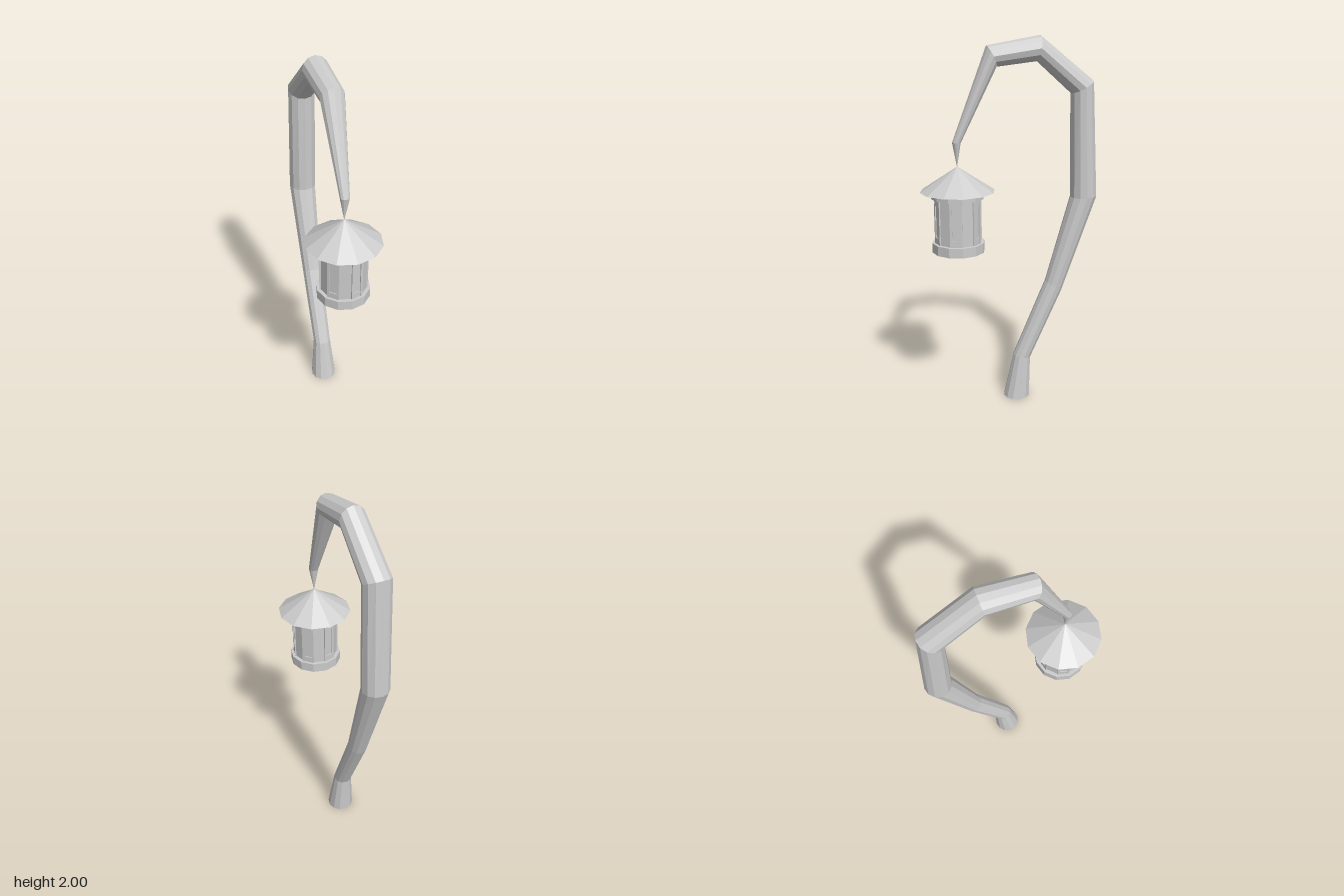
import * as THREE from 'three';

const SIDES = 12;
const LANTERN_Z = 0.283;

export function createModel() {
  const model = new THREE.Group();
  const material = new THREE.MeshStandardMaterial({ color: 0xcccccc, flatShading: true });

  const add = (parent, name, geometry, y = 0) => {
    const mesh = new THREE.Mesh(geometry, material);
    mesh.name = name;
    mesh.position.y = y;
    parent.add(mesh);
    return mesh;
  };

  // Bent pole: each ring is [inner z, inner y, outer z, outer y, half width]
  const rings = [
    [0.037, 0, -0.11, 0, 0.072],
    [-0.018, 0.25, -0.115, 0.235, 0.05],
    [-0.2, 0.68, -0.29, 0.62, 0.055],
    [-0.335, 1.15, -0.48, 1.155, 0.073],
    [-0.325, 1.705, -0.445, 1.77, 0.072],
    [-0.138, 1.87, -0.155, 2.0, 0.067],
    [0.072, 1.845, 0.125, 1.95, 0.061],
    [0.262, 1.465, 0.307, 1.47, 0.025],
    [LANTERN_Z, 1.34, LANTERN_Z, 1.34, 0],
  ];
  add(model, 'pole', sweepRings(rings));

  // Hanging lantern
  const lantern = new THREE.Group();
  lantern.name = 'lantern';
  lantern.position.z = LANTERN_Z;
  model.add(lantern);

  const drum = (name, radius, bottom, top) =>
    add(lantern, name, new THREE.CylinderGeometry(radius, radius, top - bottom, SIDES), (top + bottom) / 2);
  add(lantern, 'roof', new THREE.ConeGeometry(0.197, 0.13, SIDES), 1.28);
  drum('upperRim', 0.14, 1.18, 1.216);
  drum('lanternBody', 0.12, 0.935, 1.185);
  drum('base', 0.14, 0.89, 0.942);

  // Shallow window frames on every other face of the body
  const faceDistance = 0.12 * Math.cos(Math.PI / SIDES);
  for (let i = 0; i < 6; i++) {
    const frame = new THREE.Group();
    frame.name = 'windowFrame';
    frame.rotation.y = Math.PI / SIDES + (i * Math.PI) / 3;
    lantern.add(frame);
    for (const side of [-1, 1]) {
      const post = add(frame, 'framePost', new THREE.BoxGeometry(0.012, 0.24, 0.012), 1.06);
      post.position.x = side * 0.026;
      post.position.z = faceDistance;
      const rail = add(frame, 'frameRail', new THREE.BoxGeometry(0.042, 0.035, 0.01), 1.06 + side * 0.103);
      rail.position.z = faceDistance;
    }
  }
  return model;
}

// Skins a loop of elliptical cross-sections and closes the bottom
function sweepRings(rings) {
  const positions = [];
  const index = [];
  for (const [zi, yi, zo, yo, w] of rings) {
    for (let j = 0; j < SIDES; j++) {
      const a = (j / SIDES) * Math.PI * 2;
      const t = (1 - Math.cos(a)) / 2;
      positions.push(w * Math.sin(a), yi + (yo - yi) * t, zi + (zo - zi) * t);
    }
  }
  for (let i = 0; i < rings.length - 1; i++) {
    for (let j = 0; j < SIDES; j++) {
      const k = (j + 1) % SIDES;
      const a = i * SIDES + j, b = i * SIDES + k;
      index.push(a, b, b + SIDES, a, b + SIDES, a + SIDES);
    }
  }
  for (let j = 1; j < SIDES - 1; j++) index.push(0, j + 1, j);
  const geometry = new THREE.BufferGeometry();
  geometry.setAttribute('position', new THREE.Float32BufferAttribute(positions, 3));
  geometry.setIndex(index);
  geometry.computeVertexNormals();
  return geometry;
}
